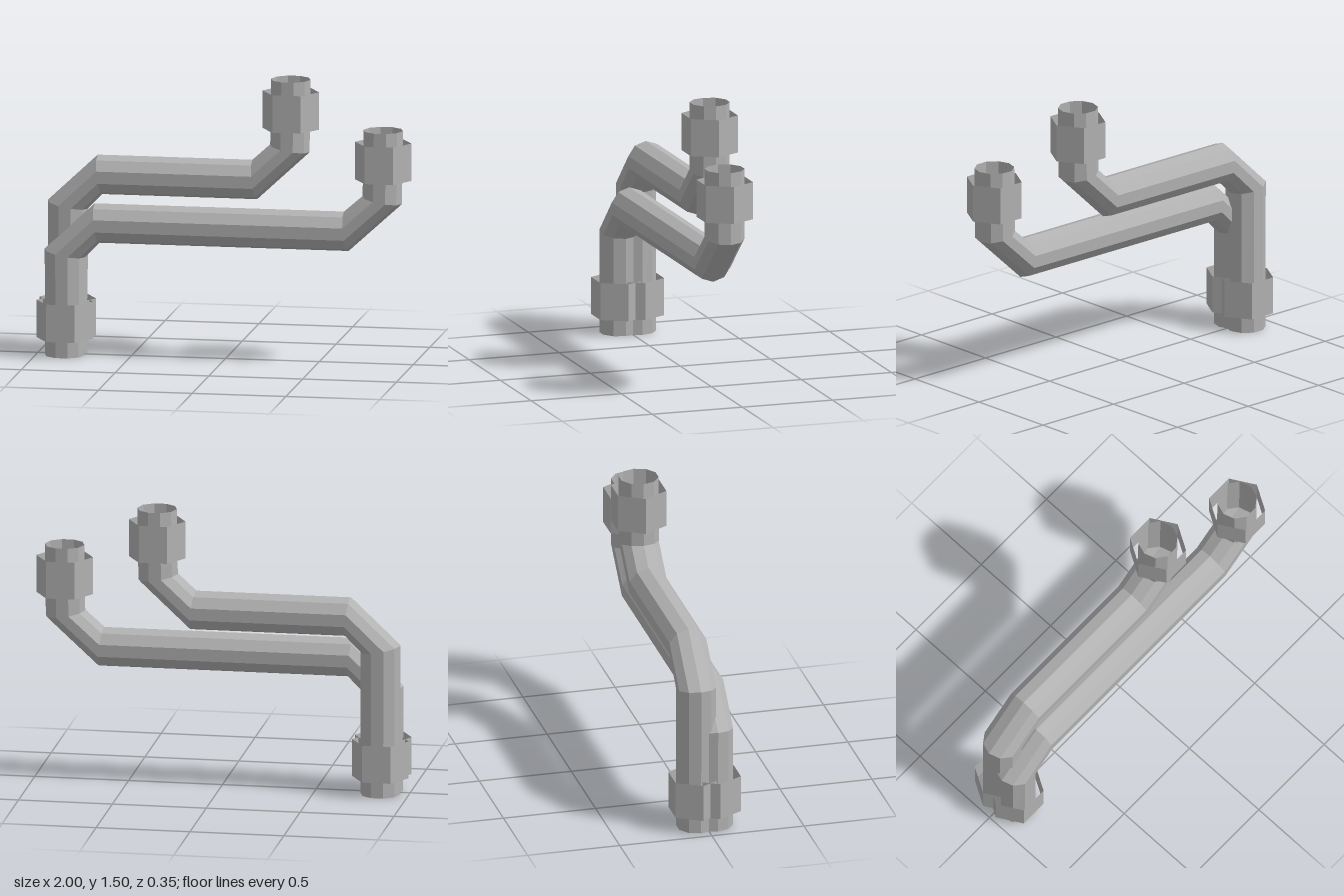
import * as THREE from 'three';

const SIDES = 10;
const PIPE_RADIUS = 0.105;

// Thin-walled pipe lofted through decagon sections: [centreX, centreY, acrossX, acrossY]
function pipeGeometry(sections) {
  const positions = [];
  const indices = [];
  for (const [cx, cy, ux, uy] of sections) {
    for (let j = 0; j < SIDES; j++) {
      const a = (j / SIDES) * Math.PI * 2;
      const c = Math.cos(a);
      positions.push(cx + ux * c, cy + uy * c, PIPE_RADIUS * Math.sin(a));
    }
  }
  for (let i = 0; i < sections.length - 1; i++) {
    for (let j = 0; j < SIDES; j++) {
      const a = i * SIDES + j;
      const b = i * SIDES + ((j + 1) % SIDES);
      indices.push(a, a + SIDES, b, b, a + SIDES, b + SIDES);
    }
  }
  const indexed = new THREE.BufferGeometry();
  indexed.setAttribute('position', new THREE.Float32BufferAttribute(positions, 3));
  indexed.setIndex(indices);
  const geometry = indexed.toNonIndexed();
  geometry.computeVertexNormals();
  return geometry;
}

export function createModel() {
  const model = new THREE.Group();
  model.name = 'pipePair';
  const metal = new THREE.MeshStandardMaterial({
    color: 0xb2b2b2, flatShading: true, side: THREE.DoubleSide,
  });
  metal.name = 'grey metal';

  // Open hexagonal sleeve around a pipe end
  const nutGeometry = new THREE.CylinderGeometry(0.151, 0.151, 0.2, 6, 1, true);
  nutGeometry.rotateY(Math.PI / 6);

  function addPipe(name, z, runY, bendX, endX, topY) {
    const group = new THREE.Group();
    group.name = name;
    group.position.z = z;
    const startX = -0.849;
    const r = PIPE_RADIUS;

    const pipe = new THREE.Mesh(pipeGeometry([
      [startX, 0, r, 0],
      [startX, runY - 0.165, 0.107, -0.02],
      [-0.677, runY, 0.0125, -r],
      [bendX, runY, 0.0125, -r],
      [endX - 0.005, runY + 0.173, r, -0.018],
      [endX, topY, r, 0],
    ]), metal);
    pipe.name = 'bentPipe';
    group.add(pipe);

    for (const [nutName, x, y] of [
      ['lowerNut', startX, 0.19],
      ['upperNut', endX, topY - 0.165],
    ]) {
      const nut = new THREE.Mesh(nutGeometry, metal);
      nut.name = nutName;
      nut.position.set(x, y, 0);
      group.add(nut);
    }
    model.add(group);
  }

  addPipe('frontPipe', 0.046, 0.71, 0.652, 0.849, 1.255);
  addPipe('backPipe', -0.046, 0.953, 0.148, 0.34, 1.495);
  return model;
}
